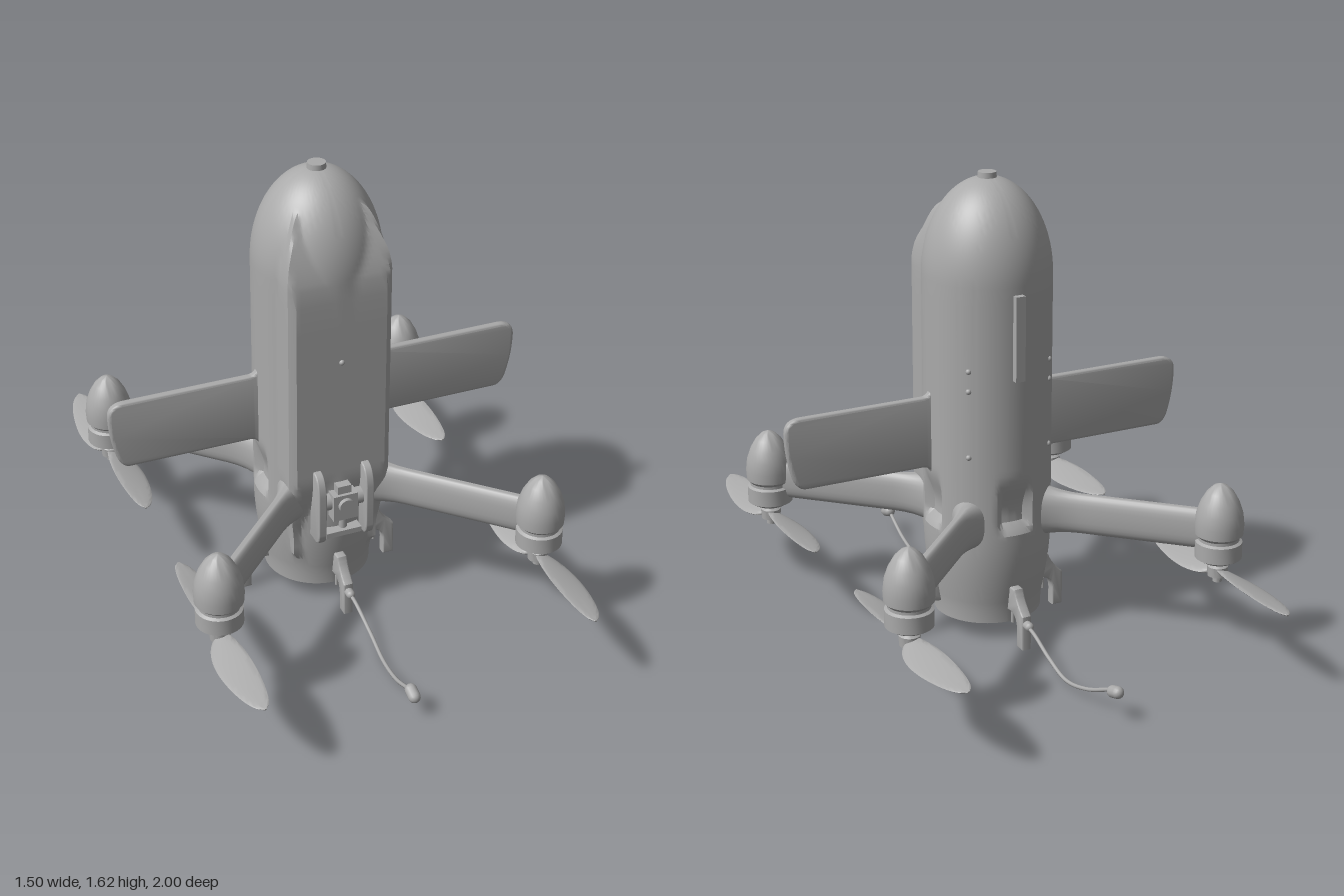
import * as THREE from 'three';
import { toCreasedNormals } from 'three/addons/utils/BufferGeometryUtils.js';

const gray = new THREE.MeshStandardMaterial({ color: 0xaaaaaa, side: THREE.DoubleSide });
gray.name = 'gray';

const V2 = (p) => new THREE.Vector2(p[0], p[1]);
const V3 = (p) => new THREE.Vector3(...p);

function add(parent, name, geo, x = 0, y = 0, z = 0) {
  const m = new THREE.Mesh(geo, gray);
  m.name = name;
  m.position.set(x, y, z);
  parent.add(m);
  return m;
}

const lathe = (pts, seg = 32) => toCreasedNormals(new THREE.LatheGeometry(pts.map(V2), seg), 0.6);

// A closed tube whose points follow a rule: t runs along it, (c, s) lie on the unit circle
function sweep(rows, rule, seg = 20) {
  const g = new THREE.CylinderGeometry(1, 1, 1, seg, rows);
  const p = g.attributes.position;
  for (let i = 0; i < p.count; i++) p.setXYZ(i, ...rule(p.getY(i) + 0.5, p.getX(i), p.getZ(i)));
  return toCreasedNormals(g, 0.9);
}

function plate(shape, depth, bevel) {
  const g = new THREE.ExtrudeGeometry(shape, { depth, bevelEnabled: bevel > 0, bevelThickness: bevel,
    bevelSize: bevel, bevelOffset: -bevel, bevelSegments: 3, curveSegments: 10 });
  g.translate(0, 0, -depth / 2);
  return toCreasedNormals(g, 0.6);
}

const smooth = THREE.MathUtils.smoothstep;

// Round hull with a squared front fairing and shallow pockets on the sides and back
function bodyGeometry() {
  const R = 0.222, pts = [];
  for (const p of [[0, 0.065], [0.188, 0.065], [0.19, 0.11]]) pts.push(p);
  for (let i = 1; i <= 8; i++) {
    const a = (i / 8) * Math.PI / 2;
    pts.push([0.19 + 0.032 * Math.sin(a), 0.11 + 0.27 * (i / 8)]);
  }
  for (let y = 0.4; y < 0.66; y += 0.02) pts.push([R, y]);
  for (let y = 0.72; y < 1.25; y += 0.1) pts.push([R, y]);
  for (let i = 0; i <= 26; i++) {
    const a = (i / 26) * Math.PI / 2;
    pts.push([R * Math.cos(a), 1.28 + 0.33 * Math.sin(a)]);
  }
  const g = new THREE.LatheGeometry(pts.map(V2), 120, Math.PI);
  const p = g.attributes.position;
  for (let i = 0; i < p.count; i++) {
    const x = p.getX(i), y = p.getY(i), z = p.getZ(i);
    const r = Math.hypot(x, z);
    if (r < 0.01) continue;
    const a = Math.atan2(x, z);
    let q = r;
    if (Math.cos(a) > 0.05 && y > 0.2 && y < 1.5) {
      const up = Math.max(0, (y - 1.25) / 0.23);
      const low = 1 - smooth(y, 0.25, 0.55);
      const w = 0.187 - 0.05 * up * up - 0.03 * low;
      const f = 0.222 - 0.085 * up ** 1.6 - 0.05 * low;
      q = Math.max(r, Math.min(w / Math.max(0.001, Math.abs(Math.sin(a))), f / Math.cos(a), 0.275));
    }
    for (const c of [Math.PI / 2, -Math.PI / 2, Math.PI]) {
      const d = Math.abs(Math.atan2(Math.sin(a - c), Math.cos(a - c)));
      const depth = smooth(-y, -0.62, -0.47) * smooth(y, 0.405, 0.445);
      q -= 0.035 * depth * (1 - smooth(d, 0.2, 0.34));
    }
    p.setXYZ(i, x * q / r, y, z * q / r);
  }
  return toCreasedNormals(g, 0.5);
}

function wingGeometry() {
  const s = new THREE.Shape();
  s.moveTo(0.18, 0.58);
  s.lineTo(0.215, 0.58);
  s.quadraticCurveTo(0.22, 0.62, 0.25, 0.62);
  s.lineTo(0.68, 0.62);
  s.quadraticCurveTo(0.71, 0.62, 0.725, 0.66);
  s.quadraticCurveTo(0.75, 0.74, 0.75, 0.82);
  s.quadraticCurveTo(0.75, 0.872, 0.69, 0.872);
  s.lineTo(0.25, 0.872);
  s.quadraticCurveTo(0.22, 0.872, 0.215, 0.91);
  s.lineTo(0.18, 0.91);
  return plate(s, 0.012, 0.009);
}

function legGeometry() {
  const s = new THREE.Shape();
  s.moveTo(0.17, 0.11);
  s.lineTo(0.215, 0.115);
  s.quadraticCurveTo(0.255, 0.11, 0.257, 0.06);
  s.lineTo(0.257, 0);
  s.lineTo(0.297, 0);
  s.lineTo(0.297, 0.125);
  s.quadraticCurveTo(0.25, 0.165, 0.238, 0.205);
  s.lineTo(0.17, 0.205);
  return plate(s, 0.026, 0.005);
}

// Twisted propeller blade; d and b are the signs of its length and its rounded edge
function bladeGeometry(d, b) {
  return sweep(24, (t, c, s) => {
    const tip = Math.sqrt(Math.max(0.02, 1 - t ** 12));
    const hi = (0.016 + 0.052 * Math.sin(Math.PI * t ** 0.7) ** 0.8 * (1 - 0.1 * t) + 0.012 * t) * tip;
    const lo = (0.016 + 0.021 * Math.sin(Math.PI * t ** 0.8) + 0.01 * t) * tip;
    const u = (hi - lo) / 2 + c * (hi + lo) / 2;
    const thick = 0.011 - 0.008 * Math.sqrt(t);
    return [b * u, 0.3 - 0.38 * u * (1 - 0.5 * t) - d * b * s * thick, d * (0.01 + 0.402 * t)];
  });
}

function cable(parent, name, pts, tilt) {
  const curve = new THREE.CatmullRomCurve3(pts.map(V3));
  add(parent, name, new THREE.TubeGeometry(curve, 48, 0.007, 8));
  const end = pts[pts.length - 1], sign = Math.sign(end[2]);
  const plug = new THREE.CapsuleGeometry(0.021, 0.03, 4, 14);
  const m = add(parent, name + 'Plug', plug, end[0], end[1] + 0.005, end[2] + 0.03 * sign);
  m.rotation.x = sign * (Math.PI / 2 - tilt);
}

export function createModel() {
  const model = new THREE.Group();
  model.name = 'tailSitterDrone';

  add(model, 'body', bodyGeometry());
  add(model, 'noseCap', new THREE.CylinderGeometry(0.031, 0.033, 0.025, 24), 0, 1.6125, 0);
  add(model, 'backStrip', new THREE.BoxGeometry(0.035, 0.295, 0.04), 0, 1.108, -0.224);

  // Wings
  const wing = wingGeometry();
  add(model, 'leftWing', wing);
  add(model, 'rightWing', wing).rotation.y = Math.PI;

  // Arms, flared where they meet the body
  const arm = sweep(16, (t, c, s) => {
    const flare = Math.max(0, 1 - t * 4) ** 2;
    const h = Math.sign(s) * Math.abs(s) ** 0.7;
    return [0.19 + 0.6 * t, 0.443 + h * (0.073 + 0.02 * flare), c * (0.027 + 0.045 * flare)];
  }, 28);

  // Motor pods
  const pod = lathe([[0, 0.335], [0.055, 0.335], [0.08, 0.35], [0.08, 0.407], [0.07, 0.413], [0.07, 0.423],
    [0.082, 0.435], [0.084, 0.47], [0.079, 0.512], [0.066, 0.55], [0.046, 0.585], [0.024, 0.607], [0, 0.617]]);
  const hub = lathe([[0, 0.258], [0.016, 0.258], [0.016, 0.275], [0.034, 0.28], [0.036, 0.315],
    [0.026, 0.322], [0.024, 0.34]], 20);
  for (const sx of [1, -1]) for (const sz of [1, -1]) {
    add(model, 'arm', arm).rotation.y = Math.atan2(-sz, sx);
    const rotor = new THREE.Group();
    rotor.name = 'rotor';
    rotor.position.set(sx * 0.58, 0, sz * 0.587);
    model.add(rotor);
    add(rotor, 'motorPod', pod);
    add(rotor, 'propellerHub', hub);
    for (const k of [1, -1]) add(rotor, 'propellerBlade', bladeGeometry(k * sz, k * sx));
  }

  // Landing legs with small pins beside them
  const leg = legGeometry();
  const pin = new THREE.CylinderGeometry(0.006, 0.006, 0.04, 10);
  for (let i = 0; i < 4; i++) {
    const g = new THREE.Group();
    g.name = 'landingLeg';
    g.rotation.y = i * Math.PI / 2;
    model.add(g);
    add(g, 'leg', leg);
    add(g, 'legPin', pin, 0.218, 0.095, 0.012);
  }

  // Trailing cables at front and back
  for (const s of [1, -1]) {
    add(model, 'cableSocket', new THREE.CapsuleGeometry(0.016, 0.05, 4, 12), 0, 0.095, s * 0.29).rotation.x = Math.PI / 2;
  }
  cable(model, 'frontCable', [[0, 0.095, 0.29], [0.002, 0.085, 0.36], [0.006, 0.04, 0.48], [0, 0.014, 0.6],
    [-0.008, 0.03, 0.72], [-0.015, 0.08, 0.84]], -0.3);
  cable(model, 'backCable', [[0, 0.095, -0.29], [0.004, 0.085, -0.36], [0.012, 0.05, -0.48], [0.014, 0.024, -0.6],
    [0.004, 0.045, -0.72], [-0.013, 0.095, -0.84]], 0.3);

  // Camera mount: two cheeks, a cross axle, the camera and its lens
  const cheek = new THREE.Shape();
  cheek.moveTo(0.15, 0.3);
  cheek.lineTo(0.25, 0.3);
  cheek.quadraticCurveTo(0.275, 0.31, 0.275, 0.35);
  cheek.lineTo(0.275, 0.5);
  cheek.quadraticCurveTo(0.27, 0.575, 0.22, 0.578);
  cheek.lineTo(0.15, 0.578);
  const cheekGeo = plate(cheek, 0.02, 0.005);
  for (const sx of [1, -1]) add(model, 'cameraCheek', cheekGeo, sx * 0.088, 0, 0).rotation.y = -Math.PI / 2;
  add(model, 'cameraAxle', new THREE.CylinderGeometry(0.03, 0.03, 0.16, 20), 0, 0.445, 0.225).rotation.z = Math.PI / 2;
  add(model, 'camera', new THREE.BoxGeometry(0.09, 0.1, 0.09), 0, 0.435, 0.222);
  add(model, 'cameraLens', new THREE.CylinderGeometry(0.028, 0.028, 0.025, 20), 0, 0.445, 0.27).rotation.x = Math.PI / 2;
  add(model, 'cameraTop', new THREE.BoxGeometry(0.05, 0.04, 0.08), 0, 0.495, 0.215);
  add(model, 'cameraStem', new THREE.CylinderGeometry(0.014, 0.014, 0.06, 12), 0, 0.37, 0.24);
  add(model, 'mountBase', new THREE.BoxGeometry(0.13, 0.02, 0.08), 0, 0.32, 0.215);

  // Small studs on the hull
  const stud = new THREE.SphereGeometry(0.01, 12, 8);
  add(model, 'frontStud', stud, 0, 0.99, 0.222);
  for (const sx of [1, -1]) for (const y of [0.995, 0.925, 0.69]) add(model, 'sideStud', stud, sx * 0.152, y, -0.16);

  return model;
}
